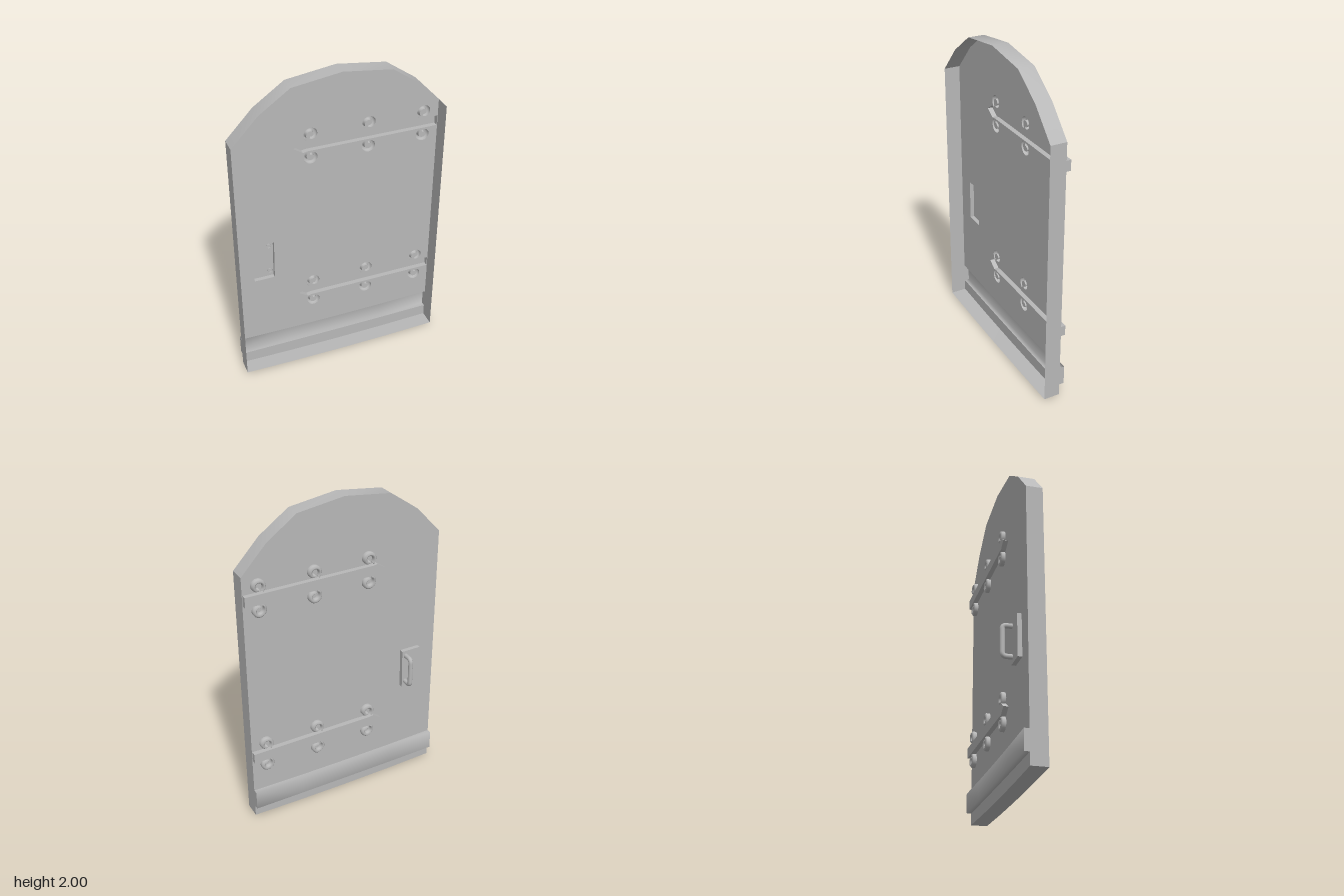
import * as THREE from 'three';
import { mergeGeometries, toCreasedNormals } from 'three/addons/utils/BufferGeometryUtils.js';

const DEPTH = 0.03; // how far the embossed fittings stand out at the back
const XS = [-0.64, -0.32, 0, 0.32, 0.64];
const sag = (mid, rise) => XS.map((x) => [x, mid + rise * (x / 0.64) ** 2]);

// Surface through rows of 3D points; shared vertices give smooth normals
function loft(rows) {
  const n = rows[0].length, index = [];
  for (let i = 0; i < rows.length - 1; i++) {
    for (let j = 0; j < n - 1; j++) {
      const a = i * n + j, b = a + 1, c = a + n, d = c + 1;
      index.push(a, c, b, b, c, d);
    }
  }
  const g = new THREE.BufferGeometry();
  g.setAttribute('position', new THREE.Float32BufferAttribute(rows.flat(2), 3));
  g.setIndex(index);
  g.computeVertexNormals();
  return g;
}

// Closed wall along an outline
function wall(points, z0, z1, crease = 0.6) {
  const rows = [...points, points[0]].map(([x, y]) => [[x, y, z1], [x, y, z0]]);
  const g = toCreasedNormals(loft(rows), crease);
  g.deleteAttribute('uv');
  return g;
}

const toShape = (points) => new THREE.Shape(points.map(([x, y]) => new THREE.Vector2(x, y)));

// Flat sheet facing the back
function sheet(points, z, holes = []) {
  const shape = toShape(points);
  shape.holes = holes.map((h) => new THREE.Path(h.map(([x, y]) => new THREE.Vector2(x, y))));
  const g = new THREE.ShapeGeometry(shape).toNonIndexed();
  const p = g.attributes.position;
  for (let i = 0; i < p.count; i += 3) { // reverse the winding
    const x = p.getX(i), y = p.getY(i);
    p.setXY(i, p.getX(i + 1), p.getY(i + 1));
    p.setXY(i + 1, x, y);
  }
  g.deleteAttribute('uv');
  g.computeVertexNormals();
  return g.translate(0, 0, z);
}

// Raised panel, hollow from the inside
const emboss = (points, depth) => mergeGeometries([sheet(points, -depth), wall(points, -depth, 0, 0.1)]);

// Spiral curl: outer edge, inner edge and domed surface; side is 1 above the strap, -1 below
function scroll(cx, cy, side) {
  const outer = [], inner = [], rows = [], steps = 22;
  for (let i = 0; i <= steps; i++) {
    const t = i / steps;
    const a = THREE.MathUtils.degToRad(230 - 340 * t);
    const r = 0.04 - 0.02 * t;
    const w = 0.005 + 0.007 * Math.sin(Math.PI * Math.min(1, t * 0.85 + 0.08));
    const at = (rad) => [cx + Math.cos(a) * rad, cy + side * (0.073 + Math.sin(a) * rad)];
    outer.push(at(r + w));
    inner.push(at(r - w));
    rows.push([[...at(r + w), 0], [...at(r + w), -0.02], [...at(r), -DEPTH], [...at(r - w), -0.02], [...at(r - w), 0]]);
  }
  // caps at both ends
  const cap = (row) => loft([[row[0], row[1], row[2]], [row[4], row[3], row[2]]]);
  const geometry = mergeGeometries([loft(rows), cap(rows[0]), cap(rows[steps])]);
  return { outline: [...outer, ...inner.reverse()], geometry };
}

export function createModel() {
  const model = new THREE.Group();
  const grey = new THREE.MeshStandardMaterial({ color: 0xb8b8b8, side: THREE.DoubleSide });
  grey.name = 'plain grey';
  const add = (name, geometry, parent = model) => {
    const mesh = new THREE.Mesh(geometry, grey);
    mesh.name = name;
    parent.add(mesh);
    return mesh;
  };

  // Outline: slightly bowed foot, straight sides, faceted arch
  const foot = sag(0, 0.01);
  const arch = [[0.64, 1.66], [0.48, 1.83], [0.295, 1.96], [0, 2], [-0.295, 1.96], [-0.48, 1.83], [-0.64, 1.66]];
  const bandTop = sag(0.197, 0.008), bandBottom = sag(0.08, 0.003);
  const holes = [];

  // Strap hinges with pairs of scrolls
  [[1.52, -0.255], [0.465, -0.245]].forEach(([y, tip], k) => {
    const hinge = new THREE.Group();
    hinge.name = k ? 'lowerHinge' : 'upperHinge';
    model.add(hinge);
    const strap = [[tip, y], [tip + 0.055, y - 0.037], [tip + 0.085, y - 0.032], [0.637, y - 0.032],
      [0.637, y + 0.032], [tip + 0.085, y + 0.032], [tip + 0.055, y + 0.037]];
    holes.push(strap);
    add('strap', emboss(strap, DEPTH), hinge);
    for (const x of [-0.15, 0.205, 0.55]) {
      for (const side of [1, -1]) {
        const s = scroll(x, y, side);
        holes.push(s.outline);
        add('scroll', s.geometry, hinge);
      }
    }
  });

  // Handle plate and pull
  const plate = [[-0.528, 0.645], [-0.4, 0.645], [-0.395, 0.905], [-0.523, 0.905]];
  holes.push(plate);
  add('handlePlate', emboss(plate, 0.026));
  const path = new THREE.CurvePath();
  const V = (y, z) => new THREE.Vector3(-0.422, y, z);
  const corners = [V(0.87, -0.02), V(0.87, -0.06), V(0.87, -0.083), V(0.847, -0.083),
    V(0.708, -0.083), V(0.685, -0.083), V(0.685, -0.06), V(0.685, -0.02)];
  path.add(new THREE.LineCurve3(corners[0], corners[1]));
  path.add(new THREE.QuadraticBezierCurve3(corners[1], corners[2], corners[3]));
  path.add(new THREE.LineCurve3(corners[3], corners[4]));
  path.add(new THREE.QuadraticBezierCurve3(corners[4], corners[5], corners[6]));
  path.add(new THREE.LineCurve3(corners[6], corners[7]));
  add('handle', new THREE.TubeGeometry(path, 40, 0.015, 10, false));

  // Door shell, open at the front
  add('doorRim', wall([...foot, ...arch], 0, 0.1));
  add('doorPanel', sheet([...bandTop, ...arch], 0, holes));
  add('kickPanel', sheet([...foot, ...[...bandBottom].reverse()], 0));

  // Weather band across the foot, softly shaded
  add('weatherBand', loft(XS.map((x, i) => {
    const t = bandTop[i][1], b = bandBottom[i][1];
    return [[x, t, 0], [x, t, -DEPTH], [x, b, -DEPTH], [x, b, 0]];
  })));
  for (const i of [0, 4]) {
    const x = XS[i], t = bandTop[i][1], b = bandBottom[i][1];
    add('weatherBandEnd', loft([[[x, t, 0], [x, t, -DEPTH]], [[x, b, 0], [x, b, -DEPTH]]]));
  }
  return model;
}
